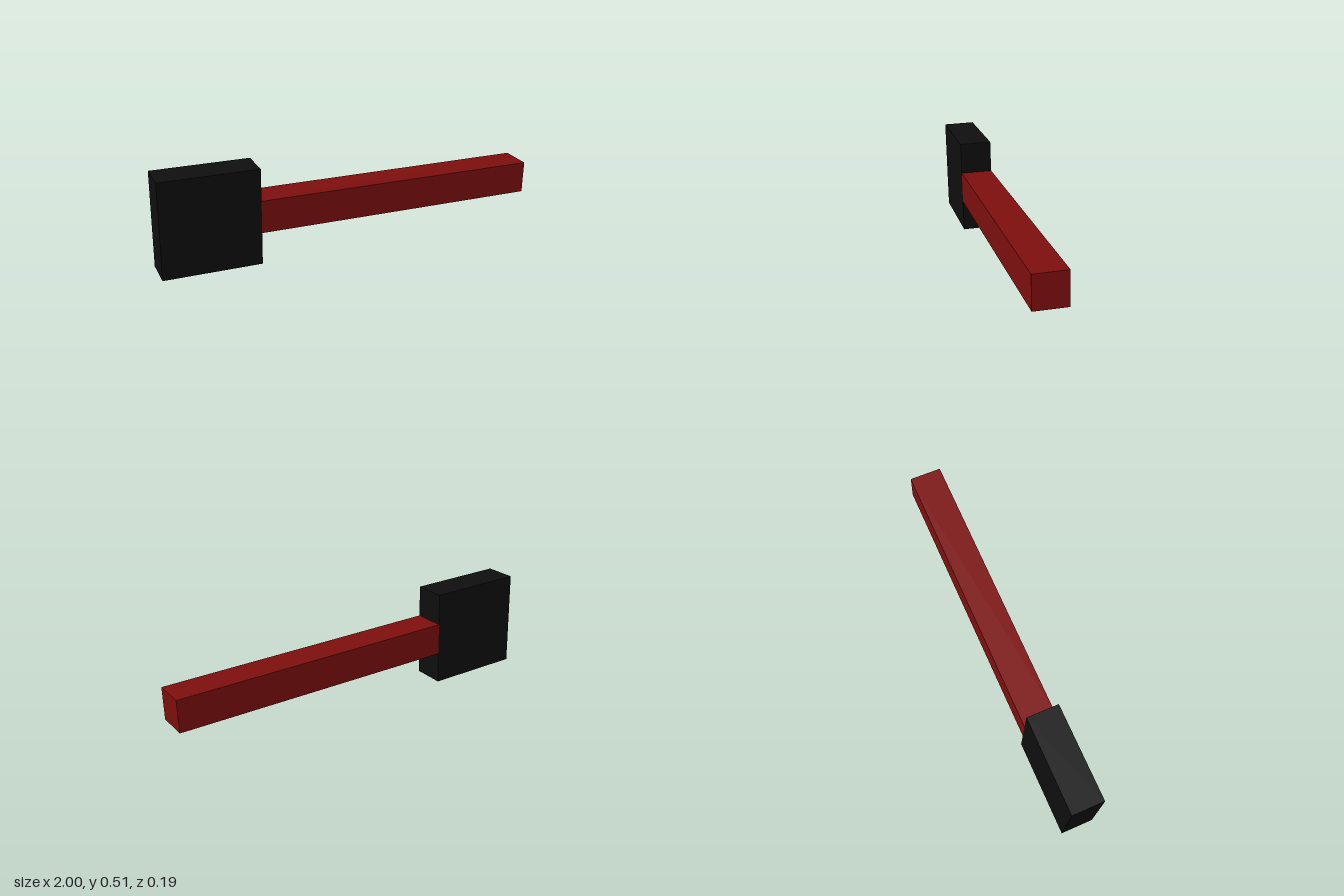
import * as THREE from 'three';

export function createModel() {
  const model = new THREE.Group();
  model.name = 'mallet';

  const red = new THREE.MeshStandardMaterial({ color: 0x7d0e0e });
  red.name = 'dark red';
  const black = new THREE.MeshStandardMaterial({ color: 0x0e0e0e });
  black.name = 'black';

  // Both parts share one thickness and lie along a common axis
  const thickness = 0.168;
  const addBlock = (name, length, height, x, material) => {
    const block = new THREE.Mesh(new THREE.BoxGeometry(length, height, thickness), material);
    block.name = name;
    block.position.x = x;
    model.add(block);
  };

  addBlock('head', 0.5, 0.5, -0.75, black);
  addBlock('handle', 1.5, thickness, 0.25, red);

  // The whole mallet leans slightly
  model.rotation.set(0.03, -0.0067, -0.0055);
  model.position.set(0, 0.25, 0.002);

  const group = new THREE.Group();
  group.add(model);
  return group;
}
